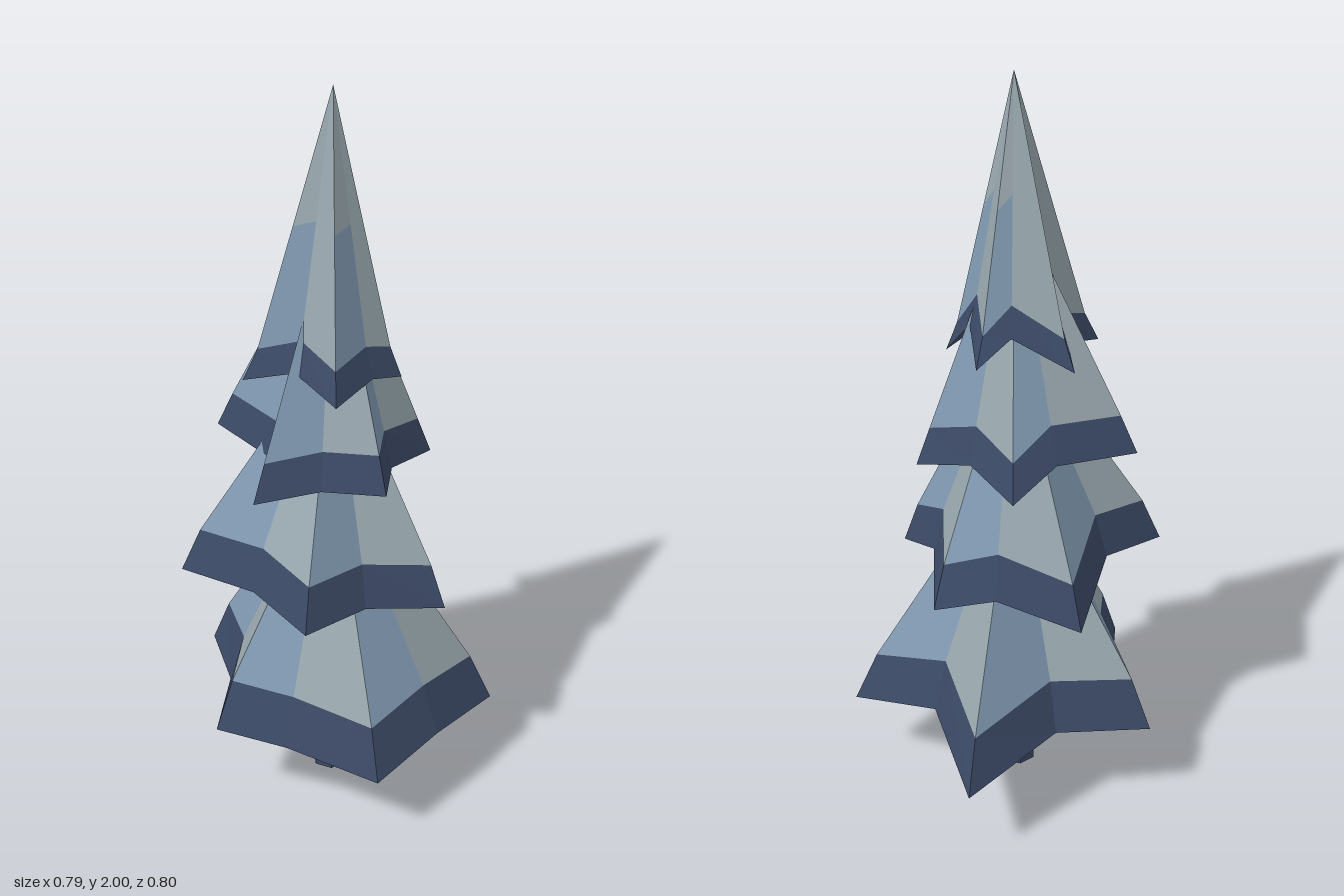
import * as THREE from 'three';

const material = (name, color) =>
  new THREE.MeshStandardMaterial({ name, color, flatShading: true, side: THREE.DoubleSide });

const AXIS = [-0.006, 0.008];

// Each tier is a ragged five-pointed skirt; the rim alternates tip, notch as [x, y, z].
const TIERS = [
  {
    name: 'bottomTier', top: 0.98, inset: 0.86, band: 0.14, split: 0,
    rim: [[-0.147, 0.25, -0.4], [0.08, 0.27, -0.27], [0.396, 0.22, -0.29], [0.27, 0.28, 0.015],
      [0.353, 0.22, 0.275], [0.1, 0.25, 0.347], [-0.14, 0.225, 0.396], [-0.275, 0.26, 0.17],
      [-0.396, 0.275, 0.007], [-0.265, 0.31, -0.125]],
  },
  {
    name: 'lowerMiddleTier', top: 1.34, inset: 0.87, band: 0.12, split: 0,
    rim: [[-0.366, 0.68, -0.19], [-0.157, 0.7, -0.2], [0.057, 0.61, -0.338], [0.2, 0.68, -0.165],
      [0.3, 0.63, -0.03], [0.175, 0.7, 0.13], [0.134, 0.635, 0.32], [-0.06, 0.66, 0.23],
      [-0.255, 0.655, 0.232], [-0.28, 0.69, 0.03]],
  },
  {
    name: 'upperMiddleTier', top: 1.69, inset: 0.86, band: 0.1, split: 0,
    rim: [[-0.183, 1.03, -0.277], [0.04, 1.04, -0.215], [0.172, 0.965, -0.2], [0.18, 1.02, -0.04],
      [0.24, 0.985, 0.11], [0.06, 1.02, 0.175], [-0.03, 1.01, 0.27], [-0.15, 1.01, 0.155],
      [-0.306, 0.99, 0.08], [-0.175, 1.03, -0.03]],
  },
  {
    name: 'topTier', top: 2, inset: 0.83, band: 0.08, split: 0.48,
    rim: [[-0.238, 1.265, -0.06], [-0.085, 1.31, -0.11], [-0.017, 1.28, -0.215], [0.085, 1.36, -0.09],
      [0.168, 1.285, -0.053], [0.105, 1.36, 0.05], [0.105, 1.26, 0.15], [0.005, 1.285, 0.16],
      [-0.14, 1.265, 0.206], [-0.15, 1.3, 0.045]],
  },
];

// Skirt surface with material groups: 0 rim band, 1 grey needles, 2 blue needles
function tierGeometry({ rim, top, inset, band, split }) {
  const apex = [AXIS[0], top, AXIS[1]];
  const mix = (a, b, t) => a.map((v, k) => v + (b[k] - v) * t);
  const shoulder = rim.map(([x, y, z]) => [
    AXIS[0] + (x - AXIS[0]) * inset, y + band, AXIS[1] + (z - AXIS[1]) * inset]);
  const collar = shoulder.map((p) => mix(p, apex, split));
  const faces = [[], [], []];
  const quad = (list, a, b, c, d) => list.push(...a, ...b, ...c, ...a, ...c, ...d);

  rim.forEach((p, i) => {
    const j = (i + 1) % rim.length;
    const needles = faces[i % 2 ? 2 : 1];
    quad(faces[0], p, shoulder[i], shoulder[j], rim[j]);
    if (split > 0) {
      quad(needles, shoulder[i], collar[i], collar[j], shoulder[j]);
      faces[1].push(...collar[i], ...apex, ...collar[j]);
    } else {
      needles.push(...shoulder[i], ...apex, ...shoulder[j]);
    }
  });

  const geometry = new THREE.BufferGeometry();
  geometry.setAttribute('position', new THREE.Float32BufferAttribute(faces.flat(), 3));
  let start = 0;
  faces.forEach((list, m) => {
    geometry.addGroup(start, list.length / 3, m);
    start += list.length / 3;
  });
  geometry.computeVertexNormals();
  return geometry;
}

export function createModel() {
  const tree = new THREE.Group();
  tree.name = 'pineTree';
  const navy = material('navy', 0x3c4a66);
  const grey = material('greyNeedles', 0x98a7ae);
  const blue = material('blueNeedles', 0x8098b0);

  // Trunk
  const trunk = new THREE.Mesh(new THREE.CylinderGeometry(0.046, 0.05, 0.8, 6), navy);
  trunk.name = 'trunk';
  trunk.position.set(-0.018, 0.4, 0.008);
  trunk.rotation.y = Math.PI / 6;
  tree.add(trunk);

  // Foliage tiers
  for (const tier of TIERS) {
    const mesh = new THREE.Mesh(tierGeometry(tier), [navy, grey, blue]);
    mesh.name = tier.name;
    tree.add(mesh);
  }
  return tree;
}
